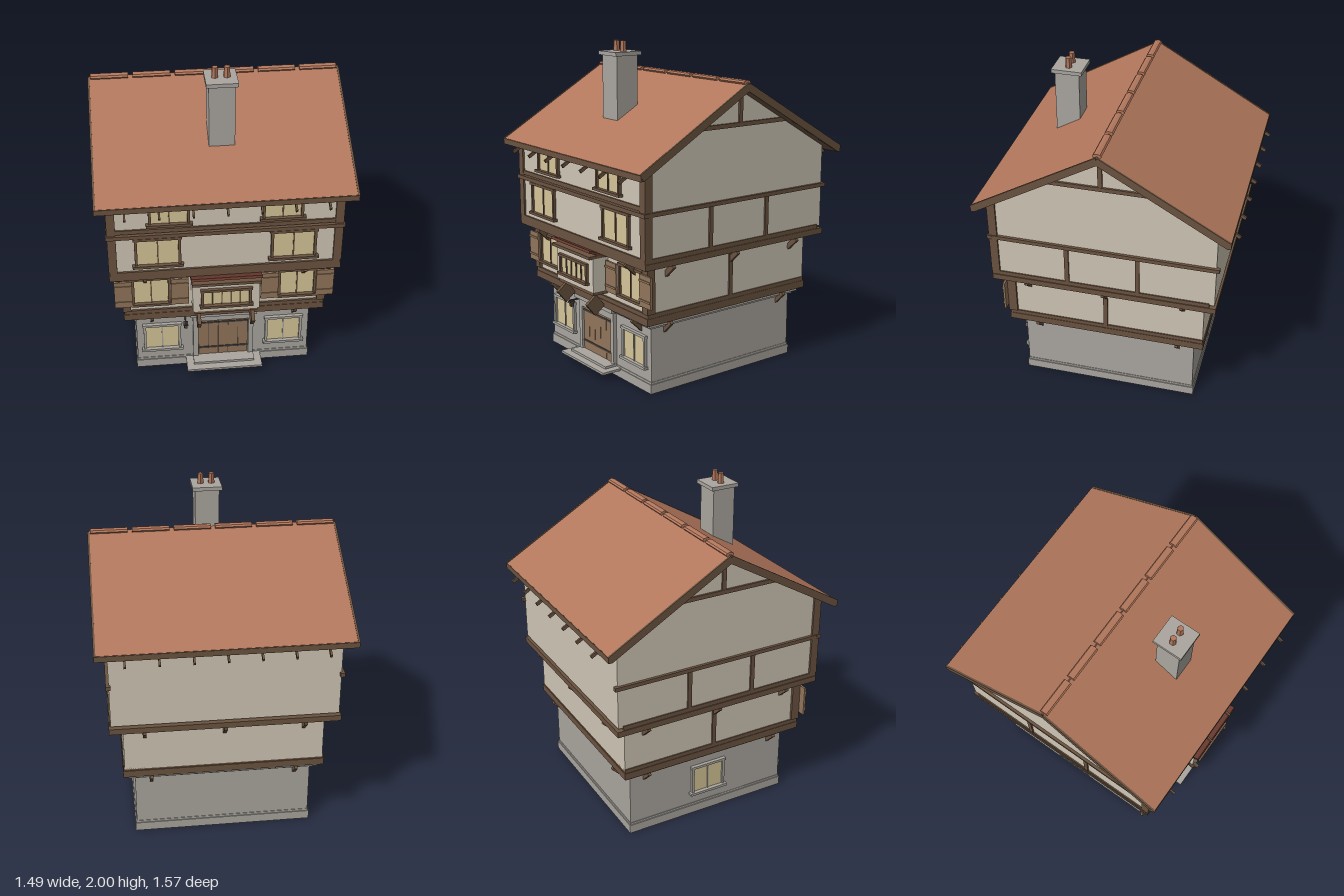
import * as THREE from 'three';

const mat = (color) => new THREE.MeshStandardMaterial({ color, flatShading: true });
const stone = mat(0xaaa69f), plaster = mat(0xcfc6b5), timber = mat(0x6b5340), board = mat(0x92755a);
const tile = mat(0xb2775c), glass = mat(0xd6c698), redwood = mat(0x6b3b30), iron = mat(0x45403b);

export function createModel() {
  const house = new THREE.Group();
  house.name = 'timberHouse';

  const put = (parent, name, geo, m) => {
    const mesh = new THREE.Mesh(geo, m);
    mesh.name = name;
    parent.add(mesh);
    return mesh;
  };
  // Box given by its limits on each axis
  const box = (name, m, [x0, x1], [y0, y1], [z0, z1], parent = house) => {
    const b = put(parent, name, new THREE.BoxGeometry(x1 - x0, y1 - y0, z1 - z0), m);
    b.position.set((x0 + x1) / 2, (y0 + y1) / 2, (z0 + z1) / 2);
    return b;
  };
  const sym = (r) => [-r, r];
  // Sloping bar between two (z, y) points, centred on x
  const strut = (name, m, x, [z1, y1], [z2, y2], width, thick, parent = house) => {
    const b = put(parent, name, new THREE.BoxGeometry(width, thick, Math.hypot(z2 - z1, y2 - y1)), m);
    b.position.set(x, (y1 + y2) / 2, (z1 + z2) / 2);
    b.rotation.x = -Math.atan2(y2 - y1, z2 - z1);
    return b;
  };

  // Stone ground floor
  box('stoneWalls', stone, sym(0.538), [0.05, 0.44], sym(0.538));
  box('plinth', stone, sym(0.546), [0, 0.056], sym(0.546));
  box('plinthTrim', stone, sym(0.541), [0.056, 0.07], sym(0.541));
  box('corniceLower', stone, sym(0.556), [0.403, 0.417], sym(0.556));
  box('corniceUpper', stone, sym(0.578), [0.42, 0.446], sym(0.578));

  // First floor with its sill and head timbers
  box('firstFloorWalls', plaster, sym(0.6), [0.5, 0.81], sym(0.6));
  box('firstFloorBeam', timber, sym(0.61), [0.446, 0.49], [-0.605, 0.615]);
  box('firstFloorSill', timber, sym(0.607), [0.49, 0.515], [-0.6, 0.612]);
  box('firstFloorHead', timber, sym(0.606), [0.775, 0.8], [-0.6, 0.612]);

  // Upper floors and gables in one five-sided block
  const gable = new THREE.Shape();
  [[-0.67, 0.85], [0.67, 0.85], [0.67, 1.355], [0, 1.742], [-0.67, 1.355]]
    .forEach(([z, y], i) => (i ? gable.lineTo(z, y) : gable.moveTo(z, y)));
  const wallGeo = new THREE.ExtrudeGeometry(gable, { depth: 1.34, bevelEnabled: false });
  wallGeo.translate(0, 0, -0.67).rotateY(Math.PI / 2);
  put(house, 'upperWalls', wallGeo, plaster);
  box('secondFloorBeam', timber, sym(0.682), [0.8, 0.836], sym(0.68));
  box('secondFloorSill', timber, sym(0.677), [0.836, 0.862], [-0.64, 0.682]);
  box('thirdFloorBeam', timber, sym(0.69), [1.1, 1.124], [0.66, 0.692]);
  box('thirdFloorSill', timber, sym(0.64), [1.13, 1.156], [0.66, 0.68]);

  // Timbers mirrored on both sides
  for (const s of [-1, 1]) {
    const side = (r0, r1) => (s > 0 ? [r0, r1] : [-r1, -r0]);
    box('firstFloorPost', timber, side(0.565, 0.615), [0.515, 0.78], [0.565, 0.62]);
    box('upperPost', timber, side(0.632, 0.682), [0.862, 1.37], [0.632, 0.682]);
    box('sideRail', timber, side(0.66, 0.687), [1.1, 1.124], sym(0.69));
    box('firstFloorStud', timber, side(0.59, 0.61), [0.51, 0.78], sym(0.013));
    for (const z of [0.213, -0.213])
      box('upperStud', timber, side(0.66, 0.68), [0.86, 1.1], [z - 0.013, z + 0.013]);
    box('gableCollar', timber, side(0.66, 0.682), [1.537, 1.562], sym(0.35));
    box('kingPost', timber, side(0.66, 0.68), [1.56, 1.745], sym(0.013));
  }

  // Jetty brackets on all four sides
  for (let i = 0; i < 4; i++) {
    const wall = new THREE.Group();
    wall.name = 'jettyBrackets';
    wall.rotation.y = (i * Math.PI) / 2;
    house.add(wall);
    for (const x of [-0.44, 0.44]) strut('lowerBracket', timber, x, [0.53, 0.37], [0.6, 0.438], 0.02, 0.03, wall);
    for (const x of [-0.475, 0, 0.475])
      if (i || x) strut('upperBracket', timber, x, [0.595, 0.728], [0.668, 0.795], 0.02, 0.03, wall);
  }

  // Roof slopes, fascias, barge boards and rafter tails
  for (const s of [-1, 1]) {
    strut('roofTiles', tile, 0, [-0.008 * s, 1.783], [0.745 * s, 1.348], 1.47, 0.02);
    strut('roofDeck', timber, 0, [0, 1.755], [0.74 * s, 1.327], 1.47, 0.022);
    box('fascia', timber, sym(0.743), [1.32, 1.354], s > 0 ? [0.735, 0.753] : [-0.753, -0.735]);
    for (const x of [-0.738, 0.738])
      strut('bargeBoard', timber, x, [-0.005 * s, 1.77], [0.745 * s, 1.338], 0.012, 0.044);
    for (let i = -3; i <= 3; i++)
      strut('rafterTail', timber, i * 0.192, [0.62 * s, 1.385], [0.78 * s, 1.291], 0.012, 0.02);
  }
  for (let i = 0; i < 6; i++) {
    const cap = put(house, 'ridgeCap', new THREE.CylinderGeometry(0.026, 0.026, 0.22, 8), tile);
    cap.rotation.z = Math.PI / 2;
    cap.scale.x = 0.55;
    cap.position.set(-0.617 + i * 0.2468, 1.791, 0);
  }

  // Chimney
  box('chimneyStack', stone, sym(0.075), [1.535, 1.92], [0.29, 0.437]);
  box('chimneyCap', stone, sym(0.091), [1.915, 1.938], [0.27, 0.455]);
  for (const x of [-0.034, 0.034]) {
    const pot = put(house, 'chimneyPot', new THREE.CylinderGeometry(0.018, 0.021, 0.065, 6), tile);
    pot.position.set(x, 1.968, 0.363);
  }

  // Window facing +z, its wall plane at local z = 0
  const makeWindow = (name, m, w, h, panes, sill, x, y, z, turn = 0) => {
    const g = new THREE.Group();
    g.name = name;
    g.position.set(x, y, z);
    g.rotation.y = turn;
    house.add(g);
    const f = 0.016, a = w / 2, d = 0.018;
    box('pane', glass, sym(a), [0, h], [-0.01, 0.006], g);
    box('leftJamb', m, [a, a + f], [0, h], [-0.01, d], g);
    box('rightJamb', m, [-a - f, -a], [0, h], [-0.01, d], g);
    box('lintel', m, sym(a + f + sill / 2), [h, h + f], [-0.01, d + 0.004], g);
    box('sill', m, sym(a + f + sill), [-f, 0], [-0.01, d + 0.012], g);
    for (let i = 1; i < panes; i++) {
      const c = -a + (w * i) / panes;
      box('mullion', m, [c - 0.004, c + 0.004], [0, h], [0, 0.012], g);
    }
  };
  for (const s of [-1, 1]) {
    makeWindow('groundWindow', stone, 0.2, 0.172, 2, 0.012, 0.38 * s, 0.156, 0.538);
    makeWindow('firstFloorWindow', timber, 0.2, 0.172, 2, 0.006, 0.44 * s, 0.572, 0.6);
    makeWindow('secondFloorWindow', timber, 0.236, 0.172, 2, 0.014, 0.395 * s, 0.91, 0.67);
    makeWindow('thirdFloorWindow', timber, 0.205, 0.13, 2, 0.014, 0.325 * s, 1.193, 0.67);
    // Shutters with battens
    for (const c of [0.27, 0.607]) {
      const x = [c * s - 0.053, c * s + 0.053];
      box('shutter', board, x, [0.562, 0.75], [0.619, 0.632]);
      for (const y of [0.595, 0.71]) box('shutterBatten', board, x, [y, y + 0.012], [0.632, 0.637]);
    }
  }
  makeWindow('sideWindow', stone, 0.2, 0.172, 2, 0.012, -0.538, 0.156, 0, -Math.PI / 2);

  // Bay window with canopy and big brackets
  box('bayWalls', plaster, sym(0.2), [0.556, 0.775], [0.59, 0.708]);
  box('bayBase', timber, sym(0.19), [0.536, 0.556], [0.59, 0.702]);
  makeWindow('bayWindow', timber, 0.27, 0.098, 5, 0.008, 0, 0.612, 0.706);
  box('bayHead', timber, sym(0.205), [0.765, 0.783], [0.6, 0.738]);
  strut('bayCanopy', redwood, 0, [0.62, 0.772], [0.738, 0.815], 0.42, 0.016);
  for (const x of [-0.162, 0.162])
    strut('bayBracket', timber, x, [0.643, 0.432], [0.703, 0.506], 0.022, 0.085);

  // Front door with stone surround and steps
  for (let i = 0; i < 5; i++) {
    const x = -0.155 + i * 0.062;
    box('doorPlank', board, [x + 0.001, x + 0.061], [0.075, 0.352], [0.53, 0.549]);
  }
  box('doorBacking', iron, sym(0.155), [0.075, 0.352], [0.53, 0.542]);
  for (const y of [0.125, 0.325]) box('doorStrap', iron, sym(0.155), [y, y + 0.012], [0.54, 0.553]);
  for (const s of [-1, 1])
    box('doorJamb', stone, s > 0 ? [0.157, 0.188] : [-0.188, -0.157], [0.07, 0.41], [0.53, 0.562]);
  box('doorLintel', stone, sym(0.19), [0.353, 0.41], [0.53, 0.56]);
  box('doorHood', stone, sym(0.205), [0.405, 0.43], [0.53, 0.585]);
  box('lowerStep', stone, sym(0.235), [0.046, 0.06], [0.53, 0.672]);
  box('upperStep', stone, sym(0.19), [0.06, 0.075], [0.53, 0.625]);

  // Wall lantern
  box('lanternArm', iron, [-0.24, -0.232], [0.372, 0.38], [0.53, 0.605]);
  box('lanternCap', iron, [-0.25, -0.222], [0.362, 0.372], [0.57, 0.605]);
  box('lantern', iron, [-0.246, -0.226], [0.335, 0.362], [0.577, 0.598]);

  return house;
}
